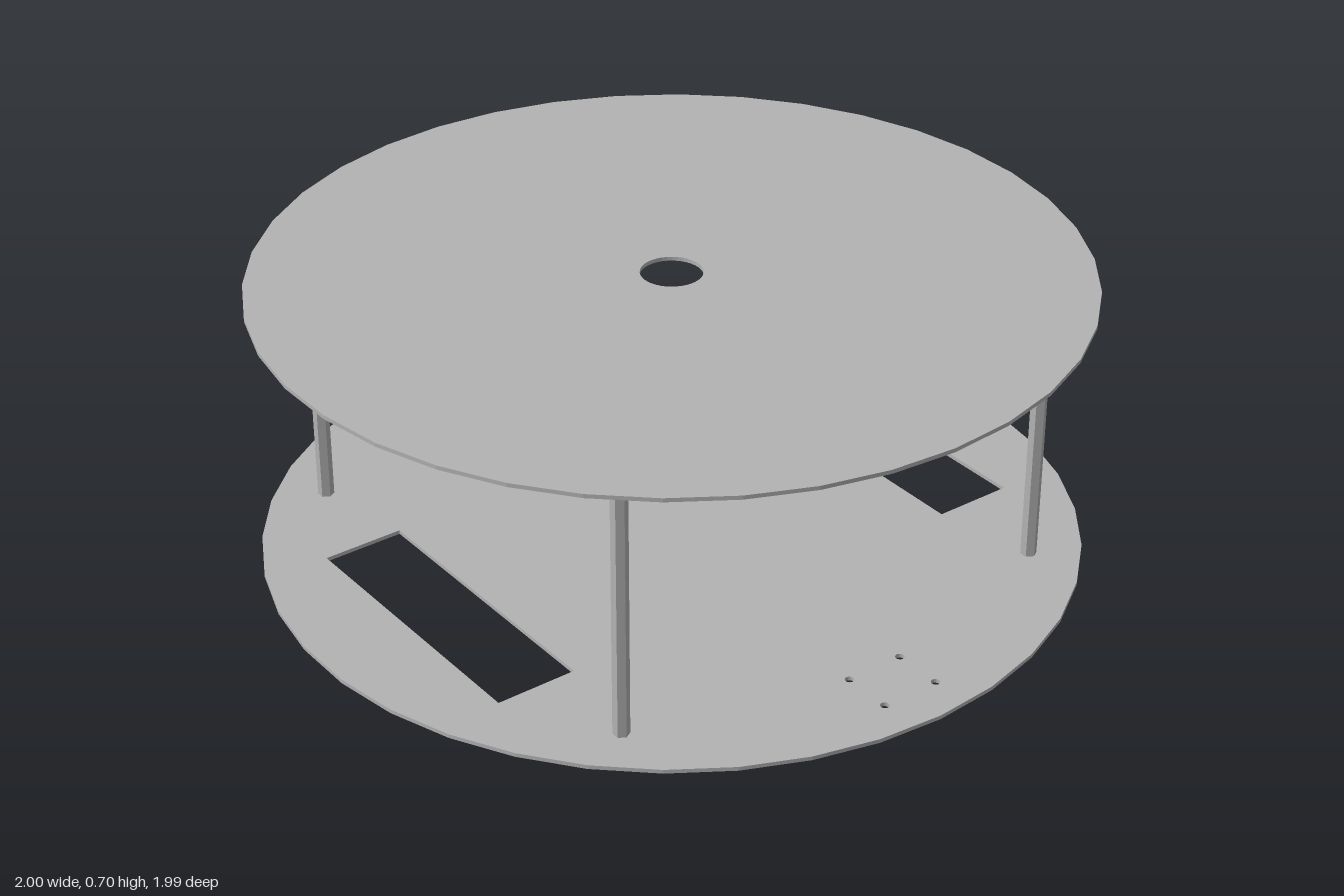
import * as THREE from 'three';

const THICK = 0.01, HEIGHT = 0.705;

// Regular polygon outline, used for discs and round holes
function ring(PathType, cx, cy, r, sides) {
  const pts = [];
  for (let i = 0; i < sides; i++) {
    const a = (i / sides) * Math.PI * 2;
    pts.push(new THREE.Vector2(cx + r * Math.cos(a), cy + r * Math.sin(a)));
  }
  return new PathType(pts);
}

// Thin horizontal disc with cut-outs, its underside at height y
function plate(name, y, holes, material) {
  const shape = ring(THREE.Shape, 0, 0, 1, 38);
  shape.holes.push(...holes);
  const geo = new THREE.ExtrudeGeometry(shape, { depth: THICK, bevelEnabled: false });
  geo.rotateX(-Math.PI / 2);
  const mesh = new THREE.Mesh(geo, material);
  mesh.position.y = y;
  mesh.name = name;
  return mesh;
}

export function createModel() {
  const model = new THREE.Group();
  model.name = 'twoDeckChassis';
  const grey = new THREE.MeshStandardMaterial({ color: 0xb3b3b3, flatShading: true });
  grey.name = 'plain grey';

  // Lower deck: two wheel slots and two sets of four screw holes
  const cuts = [];
  for (const s of [-1, 1]) {
    const z0 = s * 0.555, z1 = s * 0.762;
    cuts.push(new THREE.Path([
      new THREE.Vector2(-0.37, z0), new THREE.Vector2(0.37, z0),
      new THREE.Vector2(0.37, z1), new THREE.Vector2(-0.37, z1),
    ]));
    for (const x of [0.772, 0.896])
      for (const z of [-0.075, 0.075]) cuts.push(ring(THREE.Path, s * x, z, 0.011, 16));
  }
  model.add(plate('lowerDeck', 0, cuts, grey));

  // Upper deck: one central cable hole
  model.add(plate('upperDeck', HEIGHT - THICK, [ring(THREE.Path, 0, 0, 0.075, 38)], grey));

  // Four hexagonal standoffs between the decks
  const postHeight = HEIGHT - 2 * THICK;
  const postGeo = new THREE.CylinderGeometry(0.02, 0.02, postHeight, 6);
  postGeo.rotateY(Math.PI / 2);
  for (const sx of [-1, 1])
    for (const sz of [-1, 1]) {
      const post = new THREE.Mesh(postGeo, grey);
      post.position.set(sx * 0.626, THICK + postHeight / 2, sz * 0.608);
      post.name = (sz > 0 ? 'front' : 'back') + (sx > 0 ? 'Left' : 'Right') + 'Standoff';
      model.add(post);
    }
  return model;
}
